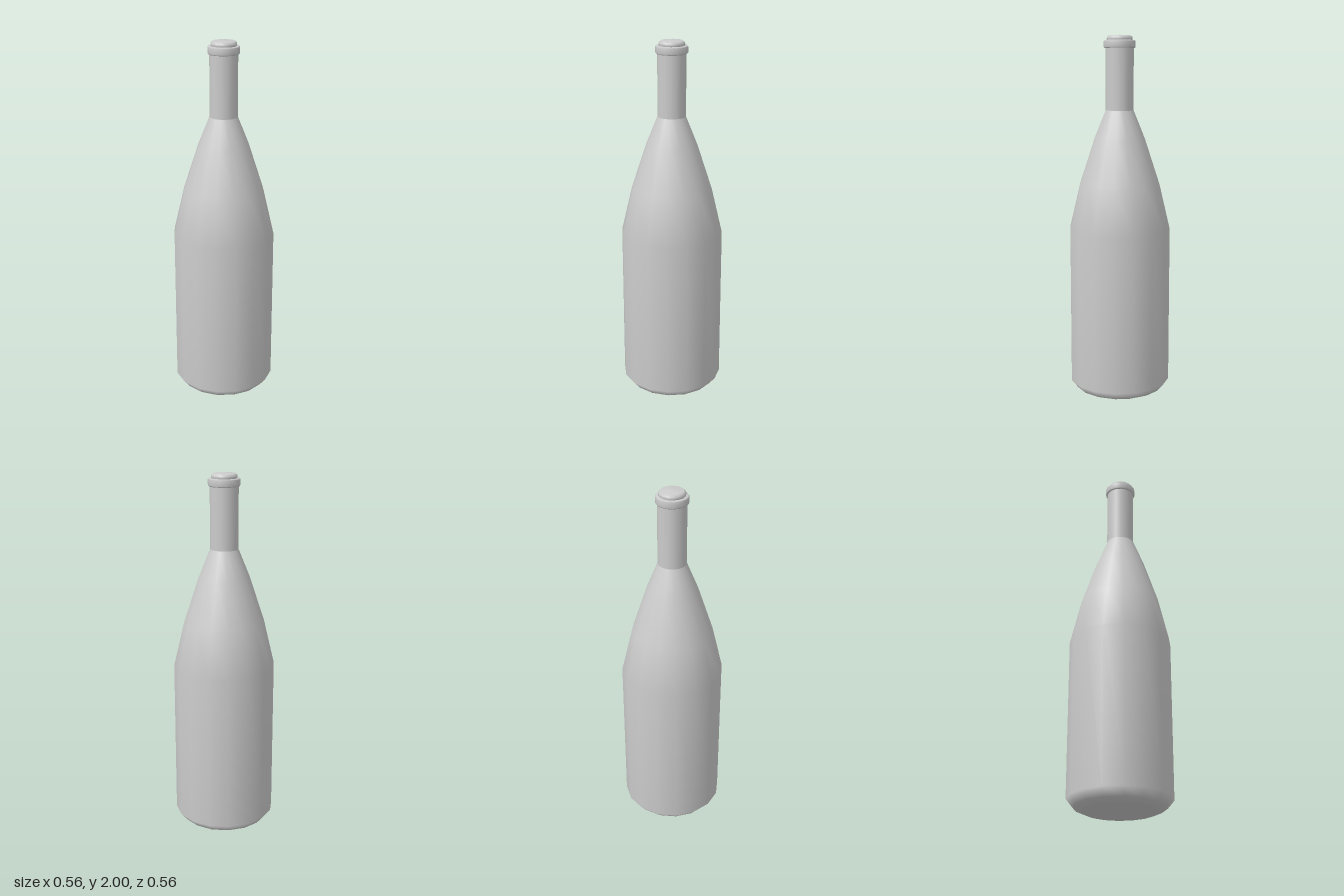
import * as THREE from 'three';

const SIDES = 16;
const material = new THREE.MeshStandardMaterial({ color: 0xcccccc });

// Revolve a [radius, height] profile, listed from bottom to top
function turned(name, profile) {
  const points = profile.map(([r, y]) => new THREE.Vector2(r, y));
  const mesh = new THREE.Mesh(new THREE.LatheGeometry(points, SIDES), material);
  mesh.name = name;
  return mesh;
}

export function createModel() {
  const bottle = new THREE.Group();
  bottle.name = 'bottle';

  // Flat base, rounded heel, straight body and tapering shoulder
  bottle.add(turned('body', [
    [0, 0], [0.195, 0], [0.245, 0.022], [0.281, 0.065],
    [0.281, 0.94], [0.222, 1.19], [0.14, 1.44], [0.077, 1.595],
  ]));

  // Straight neck
  bottle.add(turned('neck', [[0.077, 1.595], [0.077, 1.94]]));

  // Collar ring with softened edges
  bottle.add(turned('collar', [
    [0.074, 1.93], [0.082, 1.93], [0.087, 1.936],
    [0.087, 1.966], [0.082, 1.972], [0.066, 1.972],
  ]));

  // Stopper with a slightly domed top
  bottle.add(turned('stopper', [
    [0.066, 1.965], [0.071, 1.976], [0.07, 1.988], [0.06, 1.997], [0, 2],
  ]));

  return bottle;
}
